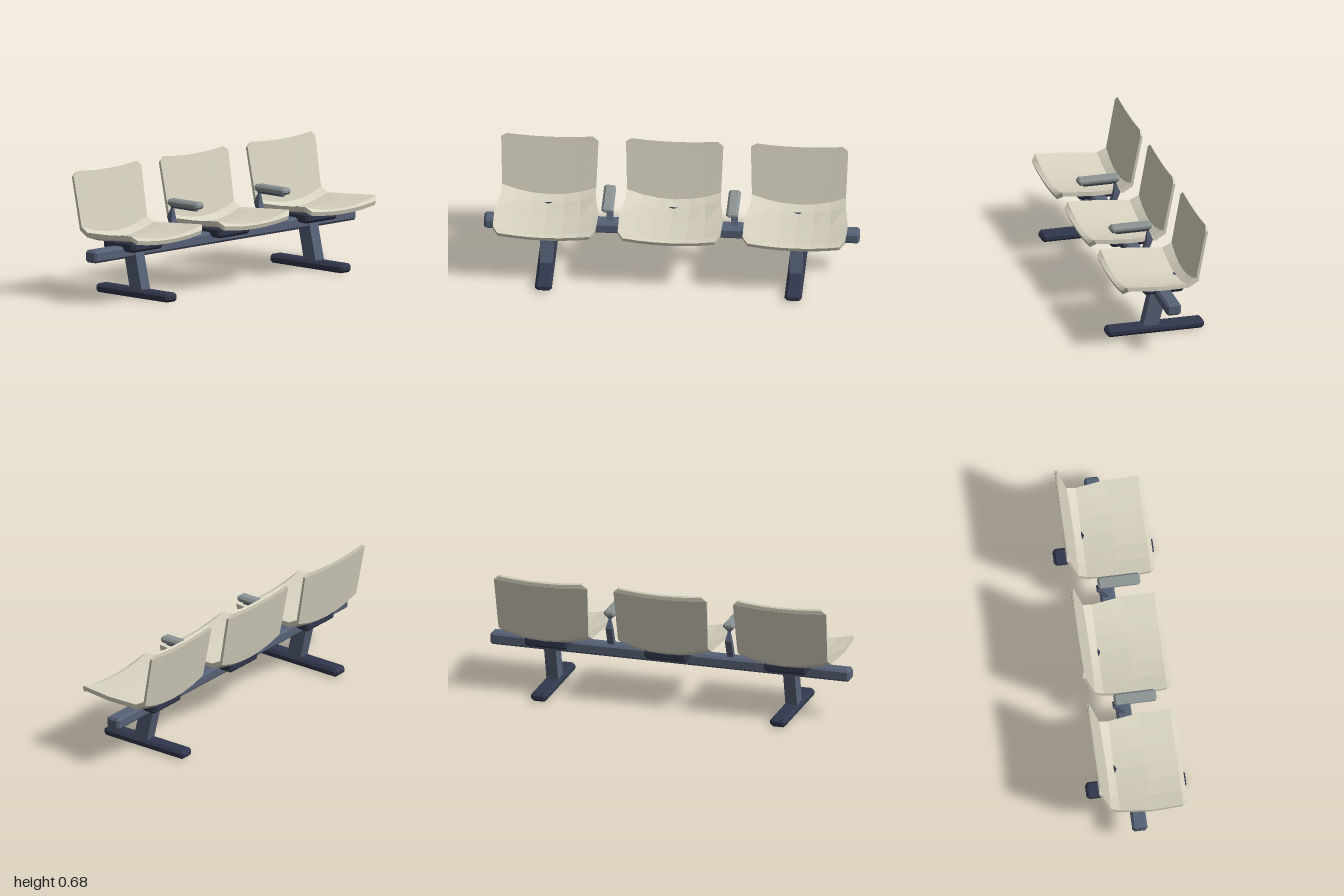
import * as THREE from 'three';
import { ConvexGeometry } from 'three/addons/geometries/ConvexGeometry.js';

const mat = (name, color) => new THREE.MeshStandardMaterial({ name, color, flatShading: true });

// Box with every edge chamfered, given by its size and chamfer width
function chamferBox(w, h, d, c) {
  const half = [w / 2, h / 2, d / 2], points = [];
  for (const sx of [-1, 1]) for (const sy of [-1, 1]) for (const sz of [-1, 1])
    for (let face = 0; face < 3; face++) {
      const p = half.map((v, axis) => (axis === face ? v : v - c));
      points.push(new THREE.Vector3(p[0] * sx, p[1] * sy, p[2] * sz));
    }
  return new ConvexGeometry(points);
}

// Closed solid through equal-length rings of [x, y, z] points
function loft(rings) {
  const n = rings[0].length, pos = [];
  const quad = (a, b, c, d) => pos.push(...a, ...b, ...c, ...a, ...c, ...d);
  for (let r = 0; r < rings.length - 1; r++)
    for (let i = 0; i < n; i++) {
      const j = (i + 1) % n;
      quad(rings[r][i], rings[r][j], rings[r + 1][j], rings[r + 1][i]);
    }
  const first = rings[0], last = rings[rings.length - 1];
  for (let i = 0; i < n / 2 - 1; i++) {
    quad(first[i], first[n - 1 - i], first[n - 2 - i], first[i + 1]);
    quad(last[i], last[i + 1], last[n - 2 - i], last[n - 1 - i]);
  }
  const geo = new THREE.BufferGeometry();
  geo.setAttribute('position', new THREE.Float32BufferAttribute(pos, 3));
  geo.computeVertexNormals();
  return geo;
}

// Four-cornered ring: half width, then front and back edge positions
const rect = (hw, zf, yf, zb, yb = yf) => [[-hw, yf, zf], [hw, yf, zf], [hw, yb, zb], [-hw, yb, zb]];

// Seat shell rows from the front lip to the top of the back:
// half width, inner z, inner y, outer z, outer y, edge rise in y, edge rise in z
const SHELL = [
  [0.245, 0.246, 0.336, 0.239, 0.314, 0.020, 0],
  [0.272, 0.222, 0.342, 0.213, 0.318, 0.040, 0],
  [0.276, 0.050, 0.332, 0.050, 0.308, 0.037, 0],
  [0.254, -0.115, 0.3125, -0.122, 0.288, 0.048, 0],
  [0.250, -0.156, 0.338, -0.168, 0.318, 0.048, -0.008],
  [0.259, -0.217, 0.640, -0.230, 0.638, 0.014, 0.002],
  [0.230, -0.222, 0.665, -0.230, 0.658, 0.014, 0.002],
];

function shellGeometry() {
  const COLS = 6;
  return loft(SHELL.map(([hw, zi, yi, zo, yo, ry, rz]) => {
    const inner = [], outer = [];
    for (let i = 0; i <= COLS; i++) {
      const u = (i / COLS) * 2 - 1, k = u * u;
      inner.push([u * hw, yi + ry * k, zi + rz * k]);
      outer.unshift([u * hw, yo + ry * k, zo + rz * k]);
    }
    return [...inner, ...outer];
  }));
}

export function createModel() {
  const group = new THREE.Group();
  group.name = 'beamSeating';
  const cream = mat('creamPlastic', 0xd8d3c0);
  const slate = mat('slateMetal', 0x566176);
  const navy = mat('darkNavyMetal', 0x31374c);
  const grey = mat('greyPad', 0x8c9494);

  const add = (name, geo, material, x, y, z) => {
    const mesh = new THREE.Mesh(geo, material);
    mesh.name = name;
    mesh.position.set(x, y, z);
    group.add(mesh);
  };

  // Long beam carrying everything
  add('beam', chamferBox(2, 0.066, 0.08, 0.012), slate, 0, 0.251, -0.02);

  // Three seats, each on a mounting block
  const shell = shellGeometry();
  const block = chamferBox(0.24, 0.058, 0.227, 0.015);
  for (const x of [-0.665, 0, 0.665]) {
    add('seatShell', shell, cream, x, 0, 0);
    add('mountBlock', block, navy, x, 0.285, -0.024);
  }

  // Slanted legs on long feet
  const leg = loft([rect(0.0325, 0.07, 0.04, -0.017), rect(0.0325, 0.021, 0.25, -0.066)]);
  const foot = chamferBox(0.09, 0.047, 0.535, 0.015);
  for (const x of [-0.665, 0.665]) {
    add('leg', leg, slate, x, 0, 0);
    add('foot', foot, navy, x, 0.0235, 0);
  }

  // Armrests between the seats
  const post = loft([
    rect(0.0175, -0.005, 0.27, -0.035),
    rect(0.0175, -0.046, 0.375, -0.08, 0.385),
    rect(0.006, -0.051, 0.435, -0.06),
    rect(0.012, -0.05, 0.45, -0.06),
  ]);
  const bracket = loft([rect(0.008, 0.121, 0.433, -0.057), rect(0.022, 0.121, 0.45, -0.057)]);
  const pad = chamferBox(0.064, 0.036, 0.228, 0.012);
  for (const x of [-0.332, 0.332]) {
    add('armPost', post, slate, x, 0, 0);
    add('armBracket', bracket, slate, x, 0, 0);
    add('armPad', pad, grey, x, 0.464, 0.04);
  }
  return group;
}
